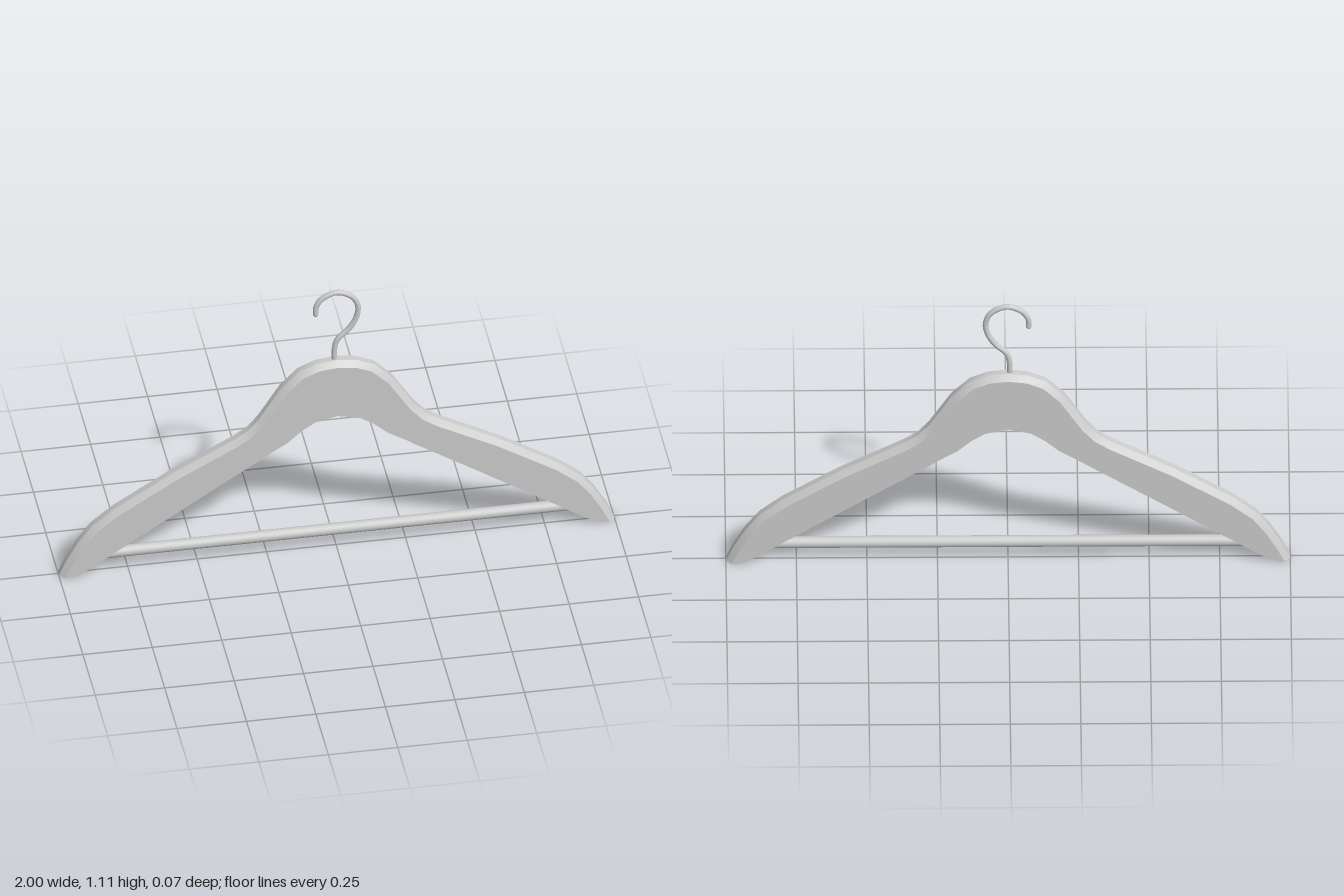
import * as THREE from 'three';
import { toCreasedNormals } from 'three/addons/utils/BufferGeometryUtils.js';

// Half outline of the wooden body: [topX, topY, bottomX, bottomY] from the neck to the tip
const STATIONS = [
  [0, 0.815, 0, 0.585],
  [0.07, 0.807, 0.08, 0.567],
  [0.135, 0.78, 0.13, 0.535],
  [0.2, 0.715, 0.18, 0.49],
  [0.28, 0.59, 0.25, 0.447],
  [0.32, 0.545, 0.28, 0.426],
  [0.37, 0.512, 0.31, 0.407],
  [0.59, 0.395, 0.5, 0.285],
  [0.8, 0.265, 0.7, 0.155],
  [0.88, 0.2, 0.8, 0.09],
  [0.93, 0.135, 0.86, 0.05],
  [0.97, 0.065, 0.925, 0.01],
  [1, 0, 0.96, 0],
];
const HALF_DEPTH = 0.034, RIDGE = 0.013, BEVEL = 0.02;

// Six-sided loft: flat underside and faces, chamfers along the upper edge only
function bodyGeometry() {
  const mirrored = STATIONS.slice(1).reverse().map(([a, b, c, d]) => [-a, b, -c, d]);
  const path = [...mirrored, ...STATIONS];
  const last = path.length - 1;
  const rings = path.map(([tx, ty, bx, by], i) => {
    let ix, iy;
    if (i === 0 || i === last) {
      ix = tx - Math.sign(tx) * BEVEL;
      iy = 0;
    } else {
      const p = path[i - 1], n = path[i + 1];
      const dx = n[0] - p[0], dy = n[1] - p[1], len = Math.hypot(dx, dy);
      ix = tx + (dy / len) * BEVEL;
      iy = ty - (dx / len) * BEVEL;
    }
    return [
      [bx, by, HALF_DEPTH], [ix, iy, HALF_DEPTH], [tx, ty, RIDGE],
      [tx, ty, -RIDGE], [ix, iy, -HALF_DEPTH], [bx, by, -HALF_DEPTH],
    ];
  });
  const pos = [];
  const tri = (a, b, c) => pos.push(...a, ...b, ...c);
  for (let i = 0; i < last; i++) {
    for (let k = 0; k < 6; k++) {
      const a = rings[i][k], b = rings[i + 1][k];
      const c = rings[i + 1][(k + 1) % 6], d = rings[i][(k + 1) % 6];
      tri(a, b, c);
      tri(a, c, d);
    }
  }
  // Small flat caps under the tips
  for (let k = 1; k < 5; k++) {
    tri(rings[0][0], rings[0][k], rings[0][k + 1]);
    tri(rings[last][0], rings[last][k + 1], rings[last][k]);
  }
  const g = new THREE.BufferGeometry();
  g.setAttribute('position', new THREE.Float32BufferAttribute(pos, 3));
  return toCreasedNormals(g, 0.5);
}

export function createModel() {
  const group = new THREE.Group();
  const material = new THREE.MeshStandardMaterial({ color: 0xcccccc });
  const add = (name, geometry, parent = group) => {
    const mesh = new THREE.Mesh(geometry, material);
    mesh.name = name;
    parent.add(mesh);
    return mesh;
  };

  add('shoulderBody', bodyGeometry());

  // Round trouser bar let into both arms
  const bar = add('trouserBar', new THREE.CylinderGeometry(0.021, 0.021, 1.76, 20));
  bar.rotation.z = Math.PI / 2;
  bar.position.y = 0.07;

  // Bent wire hook with a rounded end
  const hook = new THREE.Group();
  hook.name = 'hook';
  group.add(hook);
  const points = [
    [-0.005, 0.78], [-0.005, 0.86], [0.006, 0.897], [0.046, 0.937], [0.073, 0.985],
    [0.079, 1.03], [0.06, 1.073], [0.004, 1.1], [-0.05, 1.079], [-0.072, 1.045], [-0.073, 1.015],
  ].map(([x, y]) => new THREE.Vector3(x, y, 0));
  add('hookWire', new THREE.TubeGeometry(new THREE.CatmullRomCurve3(points), 60, 0.01, 12), hook);
  add('hookEnd', new THREE.SphereGeometry(0.01, 12, 8), hook).position.copy(points[points.length - 1]);

  return group;
}
